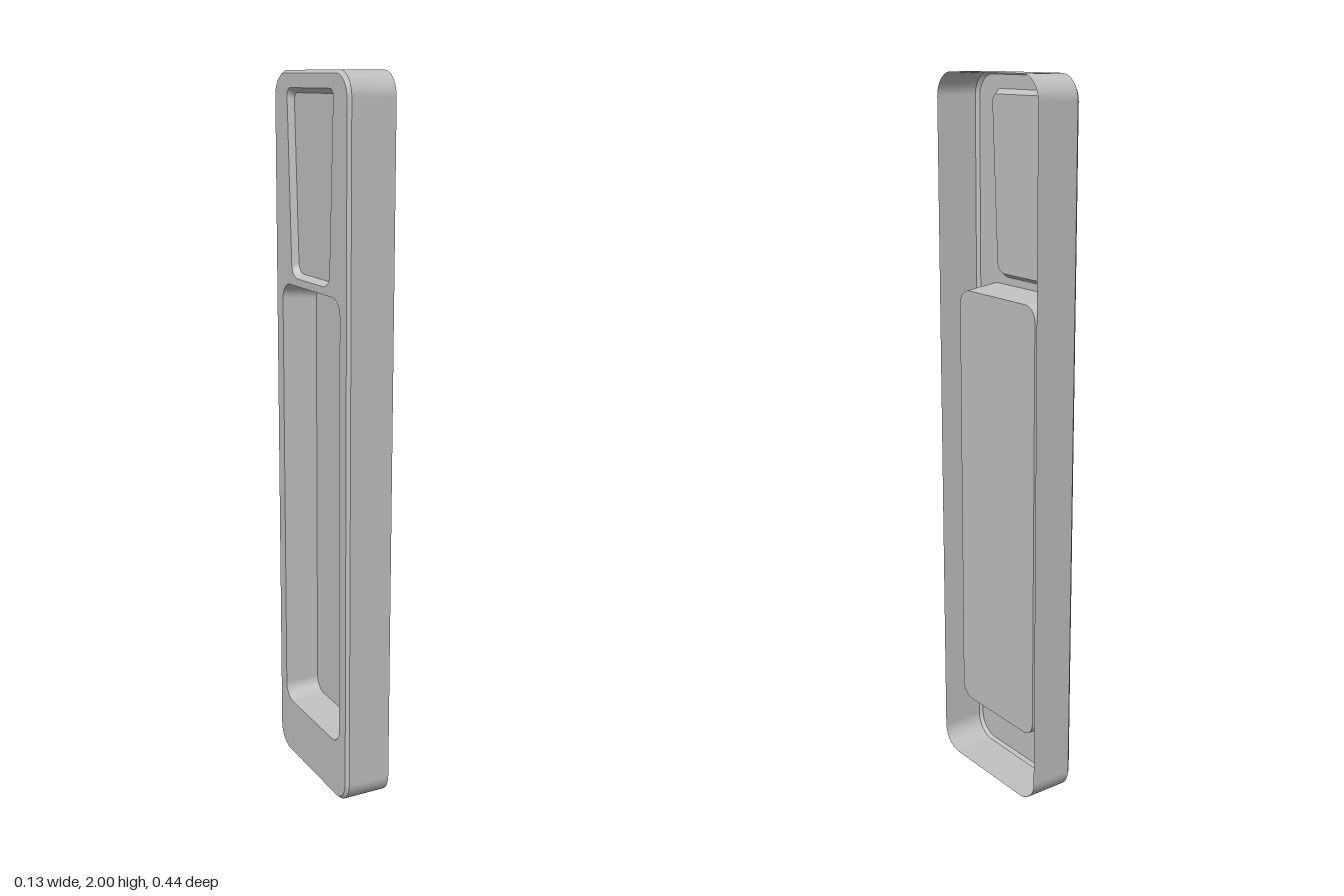
import * as THREE from 'three';

const grey = new THREE.MeshStandardMaterial({ color: 0xc0c0c0, side: THREE.DoubleSide });
grey.name = 'plain grey';

// Rounded trapezoid outline, anticlockwise; rBot and rTop are corner radii
function outline(halfBot, halfTop, y0, y1, rBot, rTop) {
  const c = [[-halfBot, y0], [halfBot, y0], [halfTop, y1], [-halfTop, y1]].map(p => new THREE.Vector2(...p));
  const radii = [rBot, rBot, rTop, rTop];
  return c.flatMap((p, i) => {
    const toward = q => p.clone().add(q.clone().sub(p).setLength(radii[i]));
    const a = toward(c[(i + 3) % 4]), b = toward(c[(i + 1) % 4]);
    return new THREE.CubicBezierCurve(a, a.clone().lerp(p, 0.55), b.clone().lerp(p, 0.55), b).getPoints(10);
  });
}

// Wall joining two outlines at two depths; outward walls face away from the centre
function wall(front, d0, back, d1, outward) {
  const n = front.length, pos = [], index = [];
  front.forEach(p => pos.push(p.x, p.y, -d0));
  back.forEach(p => pos.push(p.x, p.y, -d1));
  for (let i = 0; i < n; i++) {
    const j = (i + 1) % n;
    if (outward) index.push(i, n + i, j, j, n + i, n + j);
    else index.push(i, j, n + i, j, n + j, n + i);
  }
  const g = new THREE.BufferGeometry();
  g.setAttribute('position', new THREE.Float32BufferAttribute(pos, 3));
  g.setIndex(index);
  g.computeVertexNormals();
  return g;
}

// Flat panel at a depth, with optional holes
function panel(points, depth, holes = []) {
  const s = new THREE.Shape(points);
  holes.forEach(h => s.holes.push(new THREE.Path(h)));
  return new THREE.ShapeGeometry(s).translate(0, 0, -depth);
}

export function createModel() {
  const model = new THREE.Group();
  model.name = 'recessedHandleShell';

  // Drawn in a plane with depth going inward, then turned so the face looks along -x
  const shell = new THREE.Group();
  shell.name = 'shell';
  shell.rotation.y = -Math.PI / 2;
  shell.position.x = -0.067;
  model.add(shell);
  const add = (name, geometry) => {
    const m = new THREE.Mesh(geometry, grey);
    m.name = name;
    shell.add(m);
  };

  const body = outline(0.219, 0.219, 0, 2, 0.065, 0.065);
  const face = outline(0.211, 0.211, 0.008, 1.992, 0.06, 0.06);
  const gripRim = outline(0.174, 0.174, 0.172, 1.432, 0.045, 0.045);
  const gripBase = outline(0.169, 0.169, 0.18, 1.42, 0.042, 0.042);
  const windowRim = outline(0.113, 0.137, 1.453, 1.955, 0.035, 0.022);
  const windowBase = outline(0.105, 0.129, 1.465, 1.942, 0.03, 0.02);

  // Outer shell, open at the back
  add('sideWall', wall(body, 0.009, body, 0.134, true));
  add('edgeChamfer', wall(face, 0, body, 0.009, true));
  add('facePlate', panel(face, 0, [gripRim, windowRim]));

  // Deep grip pocket and shallow tapered recess
  add('gripPocketWall', wall(gripRim, 0, gripBase, 0.101, false));
  add('gripPocketFloor', panel(gripBase, 0.101));
  add('taperedRecessWall', wall(windowRim, 0, windowBase, 0.018, false));
  add('taperedRecessFloor', panel(windowBase, 0.018));

  return model;
}
